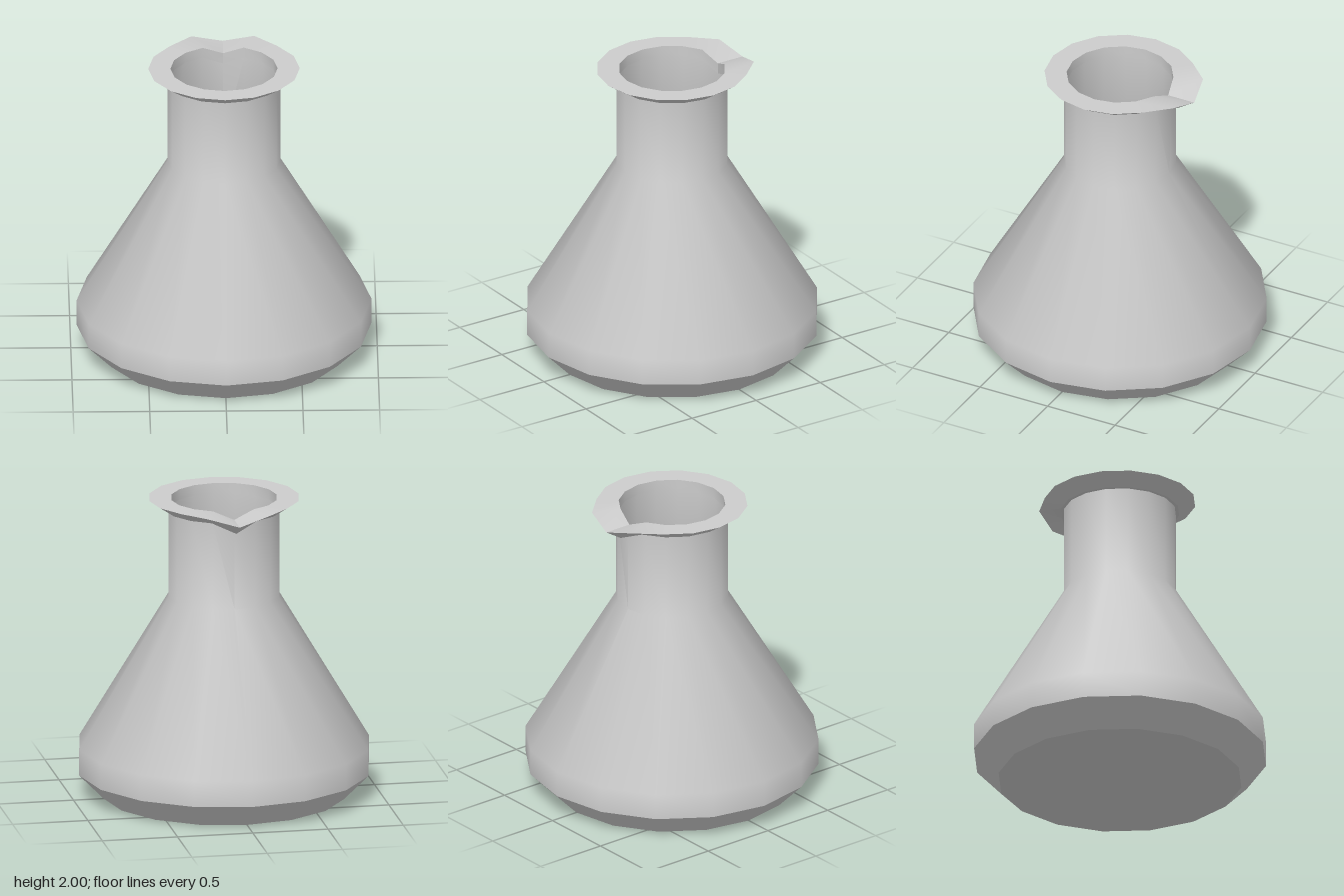
import * as THREE from 'three';
import { toCreasedNormals } from 'three/addons/utils/BufferGeometryUtils.js';

const SIDES = 16;
const BACK = SIDES / 2; // lathe column that points to -z

const glassGrey = new THREE.MeshStandardMaterial({ color: 0xcccccc, side: THREE.DoubleSide });

// Turn a [radius, height] profile, then move single vertices: [column, point, x, y, z]
function turned(name, profile, moves, crease) {
  const points = profile.map(([r, y]) => new THREE.Vector2(r, y));
  const geometry = new THREE.LatheGeometry(points, SIDES);
  for (const [column, point, x, y, z] of moves) {
    geometry.attributes.position.setXYZ(column * profile.length + point, x, y, z);
  }
  const mesh = new THREE.Mesh(toCreasedNormals(geometry, crease), glassGrey);
  mesh.name = name;
  return mesh;
}

export function createModel() {
  const flask = new THREE.Group();
  flask.name = 'flask';

  // Base, chamfer, conical body and neck; the neck dips at the back under the spout
  flask.add(turned('body', [
    [0, 0], [0.8, 0], [0.962, 0.165], [0.962, 0.34], [0.368, 1.34], [0.368, 1.93],
  ], [[BACK, 5, 0, 1.87, -0.37]], 0.65));

  // Flared rim with a pouring spout pulled out and down at the back
  flask.add(turned('rim', [
    [0.35, 1.93], [0.39, 1.93], [0.495, 2], [0.35, 2], [0.35, 1.93],
  ], [
    [BACK, 0, 0, 1.87, -0.36],
    [BACK, 1, 0, 1.87, -0.43],
    [BACK, 2, 0, 1.945, -0.55],
    [BACK, 3, 0, 1.945, -0.357],
    [BACK, 4, 0, 1.87, -0.36],
    [BACK - 1, 2, 0.205, 2, -0.505],
    [BACK + 1, 2, -0.205, 2, -0.505],
  ], 0.45));

  return flask;
}
